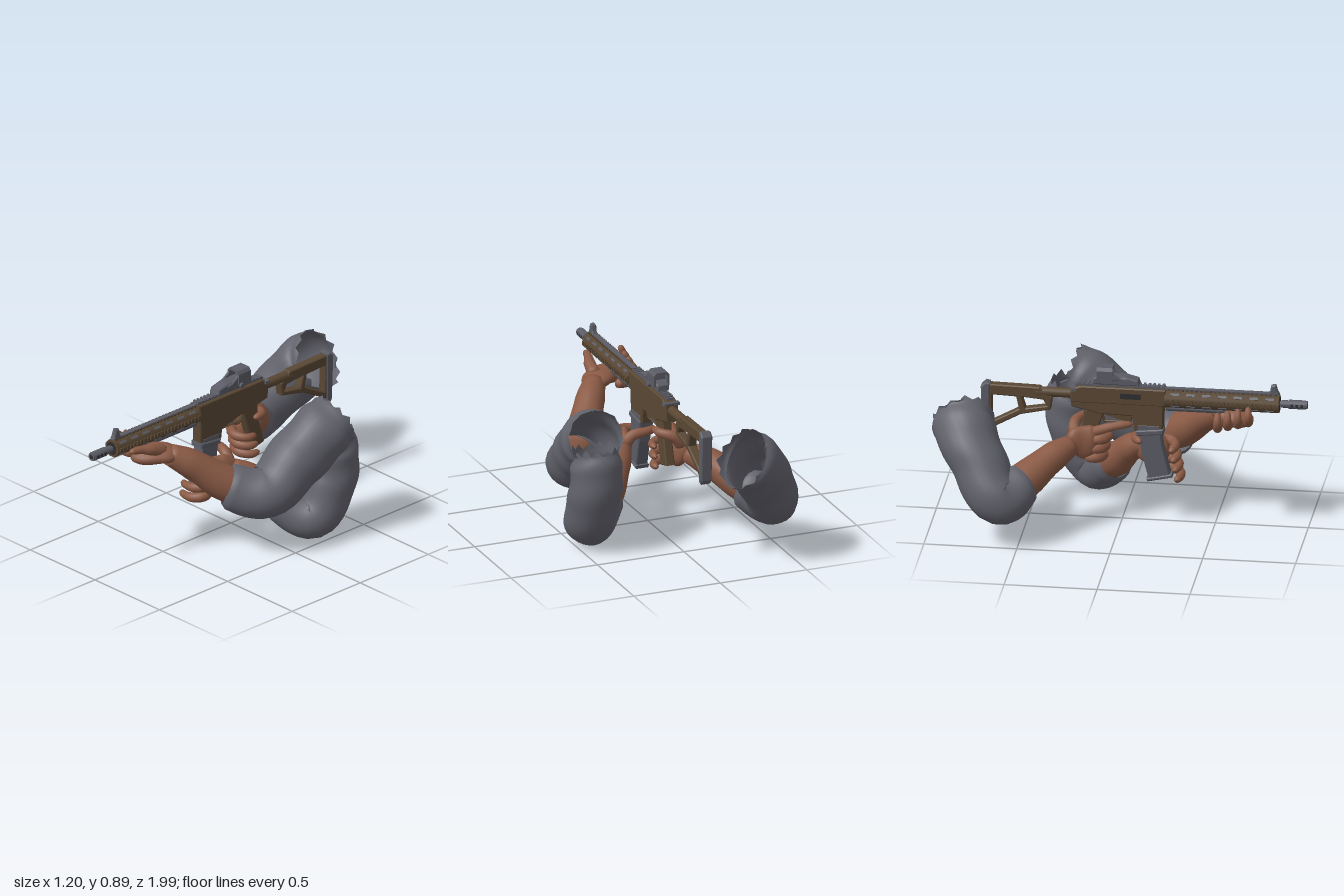
import * as THREE from 'three';

const mat = (name, color, side = THREE.FrontSide) => {
  const m = new THREE.MeshStandardMaterial({ color, side });
  m.name = name;
  return m;
};
const V = (p) => new THREE.Vector3(p[0], p[1], p[2]);

// Lofted limb through points [x, y, z, radius]; flat squeezes it across the up direction
function limb(points, { up = [0, 1, 0], flat = 1, sides = 12, rings = 20, cap = 0, wrinkle = 0, torn = 0 } = {}) {
  const curve = new THREE.CatmullRomCurve3(points.map(V));
  const pos = [], idx = [], last = points.length - 1;
  const n = V(up);
  for (let i = 0; i <= rings; i++) {
    const t = i / rings, p = curve.getPoint(t), tan = curve.getTangent(t);
    n.addScaledVector(tan, -n.dot(tan)).normalize();
    const b = new THREE.Vector3().crossVectors(tan, n);
    const k = Math.min(last - 1, Math.floor(t * last)), f = t * last - k;
    let r = THREE.MathUtils.lerp(points[k][3], points[k + 1][3], f * f * (3 - 2 * f));
    const u = cap ? Math.max(0, 1 - Math.min(t, 1 - t) / cap) : 0;
    r *= Math.sqrt(1 - u * u);
    if (torn && i === 0) r *= 0.84; // turned-in cuff
    for (let j = 0; j < sides; j++) {
      const a = (j / sides) * Math.PI * 2;
      const w = 1 + wrinkle * (Math.sin(t * 26 + 2 * Math.sin(a + 1)) * 0.6 + Math.sin(t * 11 + a * 3) * 0.5);
      const q = p.clone().addScaledVector(n, Math.cos(a) * r * w).addScaledVector(b, Math.sin(a) * r * w * flat);
      if (i === rings) q.addScaledVector(tan, torn * ((j % 2 ? 1 : -0.6) + 0.5 * Math.sin(j * 5.3)));
      pos.push(q.x, q.y, q.z);
    }
  }
  for (let i = 0; i < rings; i++) for (let j = 0; j < sides; j++) {
    const a = i * sides + j, b = i * sides + (j + 1) % sides, c = a + sides, d = b + sides;
    idx.push(a, b, c, b, d, c);
  }
  const g = new THREE.BufferGeometry();
  g.setAttribute('position', new THREE.Float32BufferAttribute(pos, 3));
  g.setIndex(idx);
  g.computeVertexNormals();
  return g;
}

const outline = (pts) => pts.map(([a, b]) => new THREE.Vector2(a, b));

// Side profile of [z, y] points, extruded across x
function profile(pts, width, holes = []) {
  const bev = 0.006;
  const s = new THREE.Shape(outline(pts));
  holes.forEach((h) => s.holes.push(new THREE.Path(outline(h))));
  return new THREE.ExtrudeGeometry(s, {
    depth: width - bev * 2, bevelEnabled: true, bevelSize: bev, bevelOffset: -bev, bevelThickness: bev, bevelSegments: 1,
  }).translate(0, 0, -(width - bev * 2) / 2).rotateY(-Math.PI / 2);
}

export function createModel() {
  const root = new THREE.Group();
  const sleeveM = mat('greyCloth', 0x63636d, THREE.DoubleSide), skin = mat('skin', 0x8a5a45);
  const brown = mat('brownFinish', 0x594733), metal = mat('greyMetal', 0x5b5c65), dark = mat('darkRecess', 0x2e2d2f);

  const group = (name) => {
    const g = new THREE.Group();
    g.name = name;
    root.add(g);
    return g;
  };
  const add = (parent, name, geo, m) => {
    const mesh = new THREE.Mesh(geo, m);
    mesh.name = name;
    parent.add(mesh);
  };

  // ---- Rifle, built around its own centre line ----
  const gun = group('rifle');
  gun.position.x = -0.028;
  const box = (name, m, w, h, d, x, y, z) => add(gun, name, new THREE.BoxGeometry(w, h, d).translate(x, y, z), m);
  const rod = (name, m, r, z0, z1, y, seg = 16) => add(gun, name,
    new THREE.CylinderGeometry(r, r, z1 - z0, seg).rotateY(Math.PI / seg).rotateX(Math.PI / 2).translate(0, y, (z0 + z1) / 2), m);

  // Barrel and slotted muzzle
  rod('barrel', metal, 0.016, 0.2, 0.92, 0.73);
  rod('muzzleBrake', metal, 0.025, 0.9, 0.99, 0.73);
  rod('muzzleCrown', metal, 0.022, 0.985, 1.0, 0.73);
  rod('muzzleCollar', metal, 0.021, 0.86, 0.9, 0.73);
  rod('bore', dark, 0.012, 0.99, 1.001, 0.73);
  for (const z of [0.918, 0.945, 0.972]) box('muzzleSlot', dark, 0.052, 0.016, 0.014, 0, 0.73, z);

  // Handguard with rails on the top and sides
  rod('handguard', brown, 0.051, 0.235, 0.85, 0.73, 8);
  rod('handguardMouth', dark, 0.038, 0.845, 0.852, 0.73, 8);
  rod('lowerTube', metal, 0.02, 0.24, 0.56, 0.677, 10);
  box('topRail', metal, 0.03, 0.024, 0.61, 0, 0.778, 0.54);
  for (let i = 0; i < 24; i++) {
    const z = 0.255 + i * 0.025;
    box('topRailTooth', brown, 0.042, 0.01, 0.013, 0, 0.783, z);
    for (const s of [-1, 1]) box('sideRailTooth', brown, 0.01, 0.022, 0.013, s * 0.051, 0.73, z);
  }
  for (const turn of [0.25, 0.75, 1.25, 1.75]) for (let i = 0; i < 7; i++) {
    const g = new THREE.BoxGeometry(0.006, 0.014, 0.046).translate(0.047, 0, 0).rotateZ(turn * Math.PI);
    add(gun, 'coolingSlot', g.translate(0, 0.73, 0.29 + i * 0.085), metal);
  }
  add(gun, 'frontSight', profile([[0.85, 0.785], [0.79, 0.785], [0.8, 0.805], [0.805, 0.835], [0.83, 0.84], [0.84, 0.805]], 0.03), metal);

  // Receiver, grip and trigger guard
  add(gun, 'upperReceiver', profile([[0.24, 0.69], [0.24, 0.785], [-0.22, 0.785], [-0.27, 0.765], [-0.27, 0.69]], 0.074), brown);
  add(gun, 'lowerReceiver', profile([[0.23, 0.7], [0.225, 0.555], [0.07, 0.54], [0.06, 0.625], [-0.12, 0.63], [-0.27, 0.665], [-0.27, 0.7]], 0.066), brown);
  add(gun, 'grip', profile([[-0.09, 0.65], [-0.12, 0.55], [-0.17, 0.39], [-0.25, 0.41], [-0.21, 0.55], [-0.2, 0.65]], 0.052), brown);
  add(gun, 'triggerGuard', profile([[0.065, 0.63], [0.05, 0.575], [-0.1, 0.575], [-0.12, 0.63]], 0.024,
    [[[0.05, 0.62], [-0.1, 0.62], [-0.09, 0.587], [0.04, 0.587]]]), brown);
  box('trigger', metal, 0.012, 0.045, 0.012, 0, 0.61, -0.03);
  box('ejectionPort', dark, 0.004, 0.03, 0.11, -0.0375, 0.74, 0.05);
  box('chargingHandle', metal, 0.09, 0.016, 0.03, 0, 0.765, -0.255);
  box('receiverRail', metal, 0.038, 0.012, 0.48, 0, 0.788, -0.005);
  for (let i = 0; i < 19; i++) box('receiverRailTooth', metal, 0.044, 0.009, 0.013, 0, 0.797, 0.225 - i * 0.025);

  // Magazine
  add(gun, 'magazine', profile([[0.21, 0.58], [0.225, 0.45], [0.265, 0.29], [0.15, 0.265], [0.11, 0.42], [0.085, 0.58]], 0.07), metal);
  add(gun, 'magazineCollar', profile([[0.228, 0.56], [0.23, 0.53], [0.085, 0.515], [0.08, 0.545]], 0.082), metal);
  add(gun, 'magazineBase', profile([[0.275, 0.305], [0.277, 0.285], [0.142, 0.255], [0.137, 0.275]], 0.08), metal);

  // Hooded sight
  add(gun, 'sightBase', profile([[0.1, 0.8], [0.09, 0.83], [0.03, 0.845], [-0.13, 0.845], [-0.15, 0.83], [-0.15, 0.8]], 0.07), metal);
  const hood = new THREE.Shape(outline([[-0.045, 0.82], [0.045, 0.82], [0.045, 0.88], [0.032, 0.897], [-0.032, 0.897], [-0.045, 0.88]]));
  hood.holes.push(new THREE.Path(outline([[-0.033, 0.845], [-0.033, 0.875], [-0.026, 0.885], [0.026, 0.885], [0.033, 0.875], [0.033, 0.845]])));
  add(gun, 'sightHood', new THREE.ExtrudeGeometry(hood, { depth: 0.085, bevelEnabled: false }).translate(0, 0, -0.13), metal);
  box('sightPane', metal, 0.068, 0.045, 0.006, 0, 0.863, -0.09);
  for (const s of [-1, 1]) add(gun, 'sightWing', profile([[-0.04, 0.83], [-0.045, 0.875], [0.0, 0.845], [0.04, 0.83]], 0.014).translate(s * 0.036, 0, 0), metal);
  add(gun, 'sightKnob', new THREE.CylinderGeometry(0.014, 0.014, 0.02, 12).rotateZ(Math.PI / 2).translate(0.048, 0.815, -0.06), metal);

  // Skeleton stock and butt pad
  rod('bufferTube', brown, 0.027, -0.46, -0.26, 0.73);
  add(gun, 'stock', profile([[-0.37, 0.705], [-0.44, 0.76], [-0.72, 0.765], [-0.72, 0.5], [-0.64, 0.545], [-0.54, 0.6], [-0.38, 0.635]], 0.05, [
    [[-0.42, 0.69], [-0.4, 0.655], [-0.515, 0.635], [-0.535, 0.7]],
    [[-0.565, 0.7], [-0.55, 0.63], [-0.65, 0.575], [-0.695, 0.55], [-0.695, 0.705]],
  ]), brown);
  add(gun, 'buttPad', profile([[-0.705, 0.77], [-0.73, 0.775], [-0.755, 0.75], [-0.745, 0.5], [-0.73, 0.475], [-0.705, 0.485]], 0.062), metal);

  // ---- Arms: sleeve, forearm, palm and fingers ----
  const arm = (name, { sleeve, torn = 0.02, forearm, palm, palmUp, palmFlat, fingers, thumb }) => {
    const g = group(name);
    add(g, 'sleeve', limb(sleeve, { sides: 26, rings: 32, wrinkle: 0.035, torn }), sleeveM);
    add(g, 'forearm', limb(forearm, { sides: 18, cap: 0.06 }), skin);
    add(g, 'palm', limb(palm, { up: palmUp, flat: palmFlat, sides: 16, cap: 0.25 }), skin);
    fingers.forEach((f) => add(g, 'finger', limb(f, { sides: 10, cap: 0.1, rings: 18 }), skin));
    add(g, 'thumb', limb(thumb, { sides: 10, cap: 0.12, rings: 18 }), skin);
  };
  const row = (n, fn) => Array.from({ length: n }, (_, i) => fn(i));

  // Left arm reaching under the handguard
  arm('leftArmOnHandguard', {
    sleeve: [[0.245, 0.415, 0.275, 0.122], [0.385, 0.365, 0.11, 0.142], [0.405, 0.5, -0.09, 0.163], [0.435, 0.63, -0.26, 0.162], [0.44, 0.665, -0.34, 0.15]],
    torn: 0.016,
    forearm: [[0.35, 0.37, 0.16, 0.1], [0.25, 0.44, 0.29, 0.098], [0.155, 0.56, 0.43, 0.08], [0.07, 0.64, 0.55, 0.058]],
    palm: [[0.12, 0.62, 0.47, 0.06], [0.06, 0.635, 0.55, 0.085], [-0.01, 0.63, 0.61, 0.095], [-0.08, 0.63, 0.62, 0.085]],
    palmUp: [0.4, 0, 0.9], palmFlat: 0.54,
    fingers: row(4, (i) => {
      const z = 0.52 + i * 0.055, o = i * 0.014;
      return [[-0.03, 0.605 + o, z, 0.028], [-0.1, 0.6 + o, z + 0.005, 0.026], [-0.148, 0.645 + o, z + 0.01, 0.022], [-0.13, 0.705 + o, z + 0.01, 0.016]];
    }),
    thumb: [[0.065, 0.645, 0.55, 0.042], [0.065, 0.685, 0.64, 0.032], [0.045, 0.7, 0.71, 0.023], [0.035, 0.705, 0.78, 0.016]],
  });

  // Left arm holding the magazine
  arm('leftArmOnMagazine', {
    sleeve: [[0.265, 0.225, -0.075, 0.108], [0.42, 0.14, -0.2, 0.132], [0.44, 0.32, -0.31, 0.142], [0.435, 0.49, -0.335, 0.14], [0.435, 0.59, -0.32, 0.125]],
    forearm: [[0.36, 0.16, -0.15, 0.09], [0.26, 0.24, -0.07, 0.092], [0.17, 0.35, 0.02, 0.076], [0.1, 0.42, 0.11, 0.055]],
    palm: [[0.12, 0.42, 0.05, 0.055], [0.085, 0.4, 0.12, 0.095], [0.065, 0.385, 0.18, 0.105], [0.06, 0.375, 0.25, 0.09]],
    palmUp: [0, 1, 0], palmFlat: 0.42,
    fingers: row(4, (i) => {
      const y = 0.455 - i * 0.055, z = 0.01 * i;
      return [[0.07, y, 0.19 + z, 0.028], [0.07, y - 0.005, 0.25 + z, 0.028], [0.03, y - 0.012, 0.28 + z, 0.026],
        [-0.025, y - 0.016, 0.282 + z, 0.022], [-0.075, y - 0.018, 0.265 + z, 0.017]];
    }),
    thumb: [[0.09, 0.43, 0.1, 0.038], [0.05, 0.475, 0.085, 0.03], [-0.03, 0.49, 0.075, 0.025], [-0.09, 0.49, 0.11, 0.018]],
  });

  // Right arm on the grip, forefinger along the receiver
  arm('rightArm', {
    sleeve: [[-0.355, 0.34, -0.48, 0.118], [-0.46, 0.275, -0.6, 0.138], [-0.375, 0.44, -0.72, 0.152], [-0.27, 0.585, -0.81, 0.165], [-0.205, 0.625, -0.83, 0.165]],
    forearm: [[-0.44, 0.3, -0.57, 0.1], [-0.35, 0.345, -0.48, 0.1], [-0.22, 0.43, -0.35, 0.08], [-0.11, 0.48, -0.24, 0.055]],
    palm: [[-0.15, 0.46, -0.28, 0.05], [-0.11, 0.48, -0.23, 0.09], [-0.09, 0.475, -0.17, 0.1], [-0.085, 0.47, -0.11, 0.085]],
    palmUp: [0, 1, 0], palmFlat: 0.48,
    fingers: [
      [[-0.085, 0.53, -0.16, 0.028], [-0.1, 0.565, -0.08, 0.026], [-0.095, 0.585, 0.0, 0.022], [-0.08, 0.59, 0.07, 0.016]],
      ...row(3, (i) => {
        const y = 0.5 - i * 0.053, z = -0.012 * i;
        return [[-0.095, y, -0.17 + z, 0.028], [-0.1, y, -0.1 + z, 0.029], [-0.04, y - 0.005, -0.07 + z, 0.026],
          [0.018, y - 0.01, -0.1 + z, 0.022], [0.025, y - 0.01, -0.165 + z, 0.017]];
      }),
    ],
    thumb: [[-0.1, 0.51, -0.24, 0.038], [-0.05, 0.57, -0.25, 0.03], [0.015, 0.59, -0.21, 0.024], [0.03, 0.595, -0.14, 0.017]],
  });
  return root;
}
